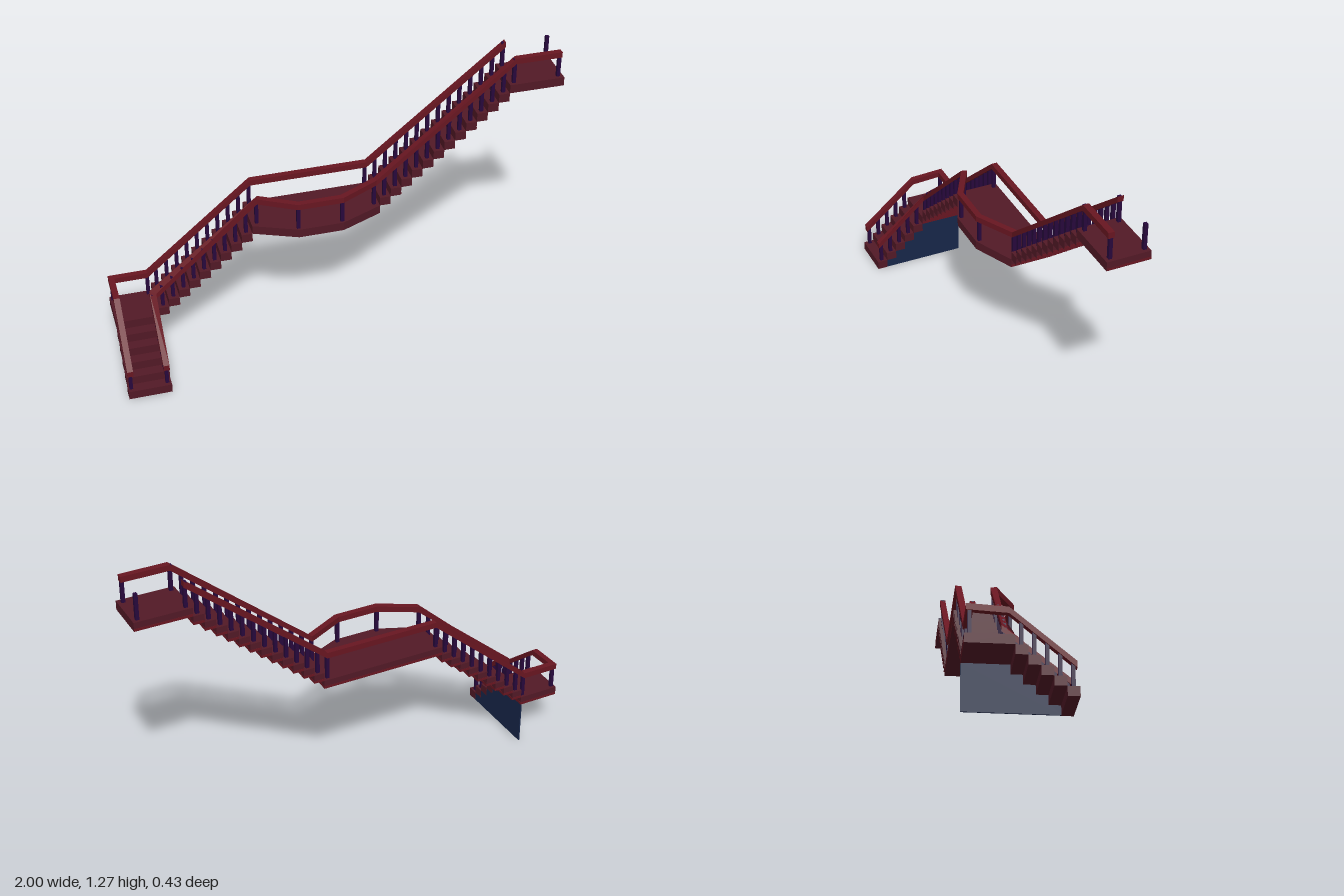
import * as THREE from 'three';

const RISE = 0.0395, RUN = 0.0475, DEPTH = 0.0472;
const BACK = -0.212, WIDTH = 0.188, FRONT = BACK + WIDTH;
const RAIL_H = 0.115;
const zF = -0.046, zB = -0.192;      // rail lines of the long flights
const xL = -0.986, xR = -0.829;      // rail lines of the lower flight

export function createModel() {
  const root = new THREE.Group();
  root.name = 'staircase';
  const wood = new THREE.MeshStandardMaterial({ name: 'maroon wood', color: 0x521926 });
  const railMat = new THREE.MeshStandardMaterial({ name: 'red rail', color: 0x681621 });
  const postMat = new THREE.MeshStandardMaterial({ name: 'dark purple post', color: 0x27083c });
  const panelMat = new THREE.MeshStandardMaterial({ name: 'navy panel', color: 0x172649 });

  const add = (name, geo, mat, parent = root) => {
    const m = new THREE.Mesh(geo, mat);
    m.name = name;
    parent.add(m);
    return m;
  };
  const box = (name, x0, x1, y0, y1, z0, z1, mat, parent) => {
    const g = new THREE.BoxGeometry(x1 - x0, y1 - y0, z1 - z0);
    g.translate((x0 + x1) / 2, (y0 + y1) / 2, (z0 + z1) / 2);
    return add(name, g, mat, parent);
  };
  // Red strip low on the back and +x faces of a slab
  const trim = (x0, x1, y, parent) =>
    box('trim', x0 + 0.001, x1 + 0.001, y + 0.001, y + 0.012, BACK - 0.001, FRONT - 0.001, railMat, parent);
  const group = (name) => {
    const g = new THREE.Group();
    g.name = name;
    root.add(g);
    return g;
  };
  const posts = group('posts');
  const post = (x, y, z, h = RAIL_H) =>
    box('post', x - 0.0075, x + 0.0075, y, y + h, z - 0.0075, z + 0.0075, postMat, posts);

  // Lower flight climbing towards the back
  const lower = group('lowerFlight');
  for (let i = 0; i < 5; i++) {
    const z1 = 0.212 - i * DEPTH, y = i * RISE;
    box('step', -1, -1 + WIDTH, y, y + RISE, z1 - DEPTH, z1, wood, lower);
    for (const x of [xL, xR]) post(x, y + RISE, z1 - DEPTH / 2, 0.098);
  }

  // Long flights climbing towards +x
  const flight = (name, x, y, n) => {
    const g = group(name);
    for (let i = 0; i < n; i++) {
      const x0 = x + i * RUN, y0 = y + i * RISE;
      box('step', x0, x0 + RUN, y0, y0 + RISE, BACK, FRONT, wood, g);
      trim(x0, x0 + RUN, y0, g);
      for (const z of [zF, zB]) post(x0 + RUN / 2, y0 + RISE, z, 0.106);
    }
  };
  const y1 = 6 * RISE, y2 = 16 * RISE, y3 = 29 * RISE;  // platform tops
  const midX0 = -1 + WIDTH + 9 * RUN, midX1 = 0.185, topX = midX1 + 12 * RUN;
  flight('middleFlight', -1 + WIDTH, y1, 9);
  flight('upperFlight', midX1, y2, 12);

  // Platforms: the middle one bulges to the front
  box('lowerLanding', -1, -1 + WIDTH, y1 - RISE, y1, BACK, FRONT, wood);
  box('topLanding', topX, 1, y3 - RISE, y3, BACK, FRONT, wood);
  const outline = [[midX0, BACK], [midX1, BACK], [midX1, FRONT], [0, 0.056], [-0.197, 0.056], [midX0, FRONT]];
  const bulge = new THREE.Shape(outline.map(([x, z]) => new THREE.Vector2(x, -z)));
  const mid = new THREE.ExtrudeGeometry(bulge, { depth: RISE, bevelEnabled: false });
  mid.rotateX(-Math.PI / 2);
  mid.translate(0, y2 - RISE, 0);
  add('middleLanding', mid, wood);
  trim(-1, -1 + WIDTH, y1 - RISE, root);
  trim(midX0, midX1, y2 - RISE, root);
  trim(topX, 0.999, y3 - RISE, root);

  // Side panel under the lower flight
  const side = new THREE.Shape([[-0.165, 0], [-BACK, 0], [-BACK, y1 - RISE], [-FRONT, y1 - RISE], [-0.165, RISE]]
    .map(([z, y]) => new THREE.Vector2(z, y)));
  const panel = new THREE.ExtrudeGeometry(side, { depth: 0.006, bevelEnabled: false });
  panel.rotateY(Math.PI / 2);
  panel.translate(-1 + WIDTH - 0.007, 0, 0);
  add('sidePanel', panel, panelMat);

  // Posts on the platforms
  for (const [x, z] of [[xL, zB], [xR, zB], [xR, zF]]) post(x, y1, z, 0.105);
  const bow = 0.042;
  for (const [x, z] of [[-0.36, zF], [-0.197, bow - 0.003], [-0.004, bow - 0.003], [0.163, zF], [-0.36, zB], [0.163, zB]]) post(x, y2, z);
  for (const x of [0.777, 0.978]) for (const z of [zF, zB]) post(x, y3, z);

  // Handrails: an upright rectangle swept along a path with mitred corners
  const rail = (name, pts) => {
    const P = pts.map((p) => new THREE.Vector3(...p));
    const flat = (a, b) => new THREE.Vector3(b.x - a.x, 0, b.z - a.z).normalize();
    const rings = P.map((p, i) => {
      const d0 = flat(P[Math.max(i - 1, 0)], P[Math.max(i, 1)]);
      const d1 = i < P.length - 1 ? flat(p, P[i + 1]) : d0;
      const d = d0.clone().add(d1).normalize();
      const w = 0.013 / d.dot(d0), h = 0.013;
      const n = new THREE.Vector3(-d.z * w, 0, d.x * w);
      return [[1, -1], [1, 1], [-1, 1], [-1, -1]].map(([s, t]) =>
        p.clone().addScaledVector(n, s).add(new THREE.Vector3(0, t * h, 0)));
    });
    const pos = [];
    const quad = (a, b, c, d) => [a, b, c, a, c, d].forEach((v) => pos.push(v.x, v.y, v.z));
    for (let i = 0; i < rings.length - 1; i++)
      for (let k = 0; k < 4; k++) {
        const m = (k + 1) % 4;
        quad(rings[i][k], rings[i + 1][k], rings[i + 1][m], rings[i][m]);
      }
    const [a, b] = [rings[0], rings[rings.length - 1]];
    quad(a[0], a[1], a[2], a[3]);
    quad(b[3], b[2], b[1], b[0]);
    const g = new THREE.BufferGeometry();
    g.setAttribute('position', new THREE.Float32BufferAttribute(pos, 3));
    g.computeVertexNormals();
    add(name, g, railMat);
  };
  const r1 = y1 + 0.108, r2 = y2 + RAIL_H, r3 = y3 + 0.107;
  rail('frontRail', [
    [xR, 0.128, 0.203], [xR, r1 - 0.008, zF], [-0.355, r2, zF], [-0.197, r2, bow],
    [-0.004, r2, bow], [0.168, r2, zF], [0.78, r3, zF], [0.986, r3, zF],
  ]);
  rail('backRail', [
    [xL, 0.128, 0.203], [xL, r1 - 0.008, zF], [xL, r1, zB], [xR, r1, zB],
    [-0.355, r2, zB], [0.168, r2, zB], [0.785, r3, zB],
  ]);
  return root;
}
